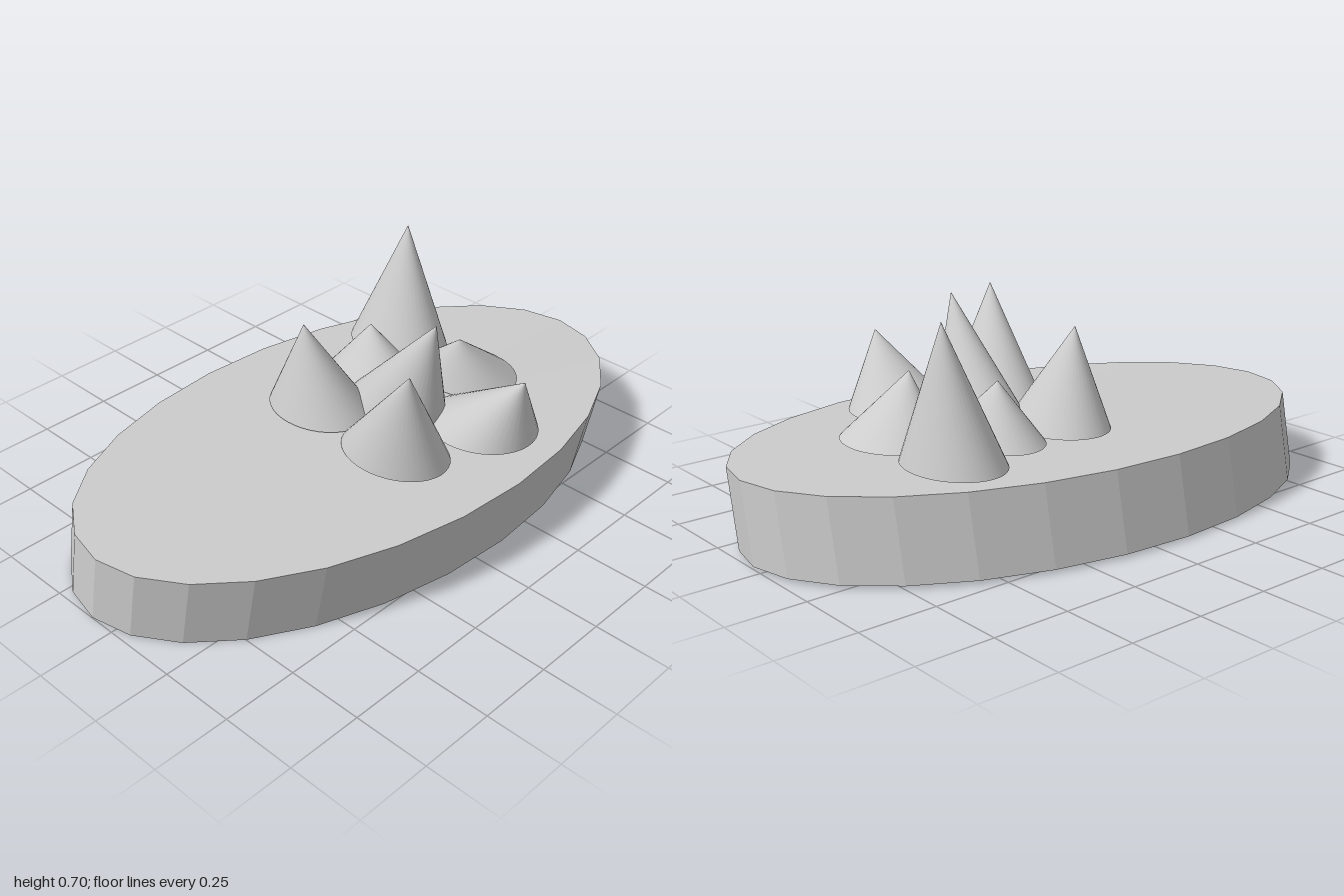
import * as THREE from 'three';

const material = new THREE.MeshStandardMaterial({ color: 0xcccccc });
const flatMaterial = new THREE.MeshStandardMaterial({ color: 0xcccccc, flatShading: true });

// Maps a unit solid (radius 1, height 1, standing on y = 0) onto a slanted elliptical one
function slant(geometry, xAxis, yAxis, zAxis, origin) {
  const v = (a) => new THREE.Vector3(...a);
  const m = new THREE.Matrix4().makeBasis(v(xAxis), v(yAxis), v(zAxis)).setPosition(...origin);
  return geometry.applyMatrix4(m);
}

// Faceted oval slab, leaning forward, with a barely raised centre on top
function makeBase() {
  const profile = [[0, 0], [1, 0], [1, 1], [0, 1.05]].map(([r, y]) => new THREE.Vector2(r, y));
  const lathe = new THREE.LatheGeometry(profile, 26, Math.PI / 2).toNonIndexed();
  slant(lathe, [1, 0.003, 0.063], [0, 0.248, 0.05], [0, -0.004, 0.571], [0, 0.005, -0.025]);
  lathe.computeVertexNormals();
  const mesh = new THREE.Mesh(lathe, flatMaterial);
  mesh.name = 'base';
  return mesh;
}

// Spike with an oval foot and an off-centre tip
function makeSpike([x, z, rx, rz, tipX, tipY, tipZ]) {
  const footY = 0.272;
  const cone = new THREE.ConeGeometry(1, 1, 40).translate(0, 0.5, 0);
  slant(cone, [rx, 0, 0], [tipX - x, tipY - footY, tipZ - z], [0, 0, rz], [x, footY, z]);
  const mesh = new THREE.Mesh(cone, material);
  mesh.name = 'spike';
  return mesh;
}

export function createModel() {
  const model = new THREE.Group();
  model.name = 'spikedSlab';
  model.add(makeBase());

  // foot centre x, z, foot radii x, z, tip x, y, z
  const spikes = [
    [-0.035, 0.23, 0.145, 0.19, -0.125, 0.635, 0.36],
    [0.16, 0.05, 0.14, 0.185, 0.13, 0.655, 0.24],
    [0.27, 0.325, 0.168, 0.19, 0.255, 0.505, 0.495],
    [0.475, 0.09, 0.152, 0.18, 0.375, 0.46, 0.135],
    [0.475, -0.22, 0.145, 0.185, 0.515, 0.7, -0.225],
    [0.24, -0.11, 0.14, 0.19, 0.245, 0.463, -0.14],
    [-0.01, -0.125, 0.148, 0.185, -0.06, 0.585, -0.145],
  ];
  const cluster = new THREE.Group();
  cluster.name = 'spikes';
  spikes.forEach((s) => cluster.add(makeSpike(s)));
  model.add(cluster);
  return model;
}
